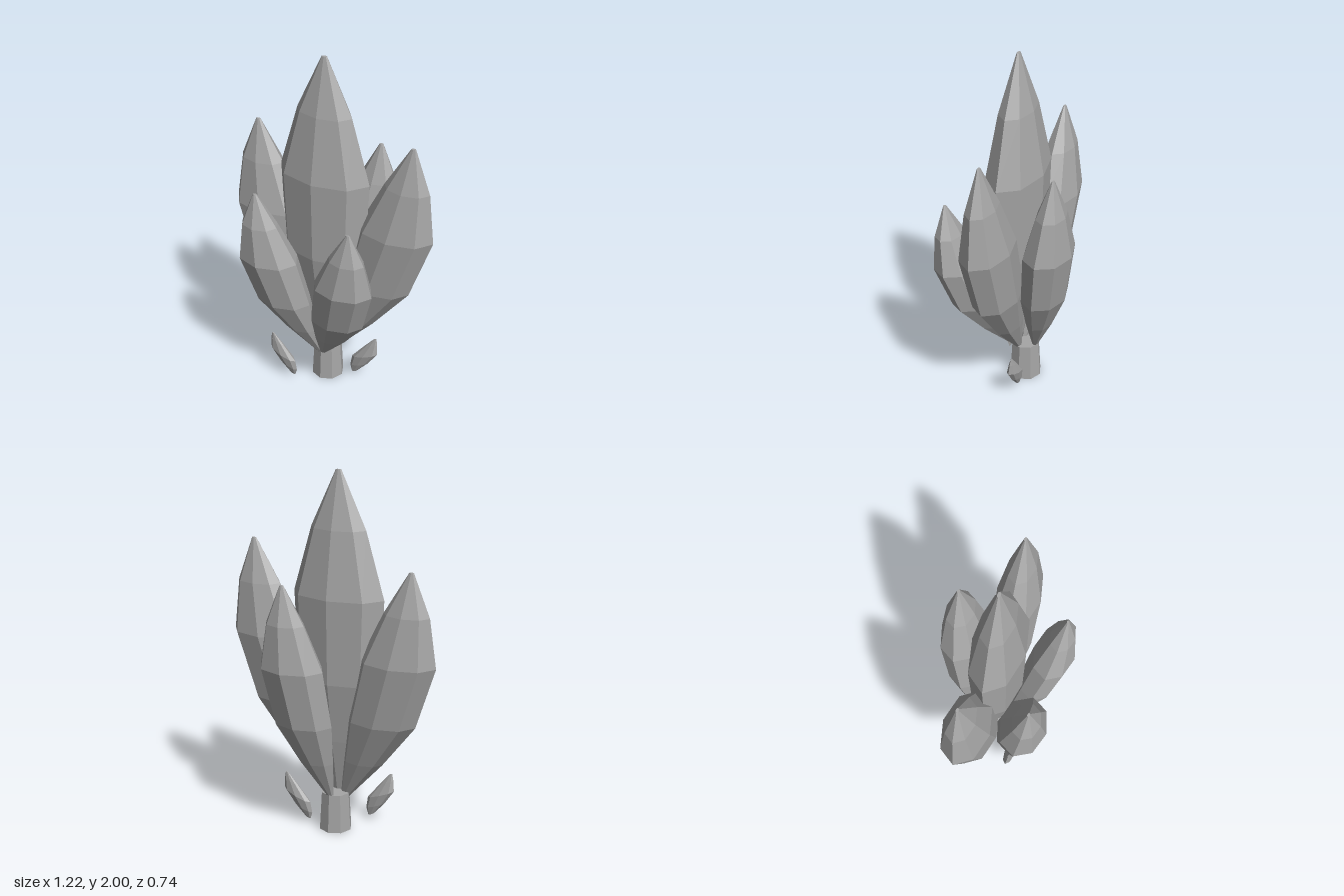
import * as THREE from 'three';

// Rows: [height fraction, outward bow fraction, width fraction]
const LEAF_ROWS = [
  [0, 0, 0.1], [0.18, 0.3, 0.54], [0.37, 0.58, 0.92],
  [0.63, 0.82, 1], [0.83, 0.94, 0.6], [1, 1, 0.06],
];
const BUD_ROWS = [
  [0, 0, 0.2], [0.22, 0.22, 0.7], [0.5, 0.5, 1], [0.8, 0.8, 0.5], [1, 1, 0.1],
];
const SIDES = 8;

// Faceted blade: elliptical rings lofted from base to tip, closed at both ends
function bladeGeometry(rows, base, tip, a, b, tilt = 0) {
  const pos = [], index = [];
  const centre = ([t, f]) => [
    base[0] + (tip[0] - base[0]) * f,
    base[1] + (tip[1] - base[1]) * t,
    base[2] + (tip[2] - base[2]) * f,
  ];
  for (const row of rows) {
    const [cx, cy, cz] = centre(row);
    for (let i = 0; i < SIDES; i++) {
      const ang = (i / SIDES) * Math.PI * 2;
      const dx = Math.cos(ang) * a * row[2];
      pos.push(cx + dx, cy + dx * tilt, cz + Math.sin(ang) * b * row[2]);
    }
  }
  const last = (rows.length - 1) * SIDES, end = rows.length * SIDES;
  pos.push(...centre(rows[0]), ...centre(rows[rows.length - 1]));
  for (let i = 0; i < SIDES; i++) {
    const j = (i + 1) % SIDES;
    for (let r = 0; r < last; r += SIDES) {
      index.push(r + i, r + SIDES + i, r + j, r + j, r + SIDES + i, r + SIDES + j);
    }
    index.push(end, i, j, end + 1, last + j, last + i);
  }
  const g = new THREE.BufferGeometry();
  g.setAttribute('position', new THREE.Float32BufferAttribute(pos, 3));
  g.setIndex(index);
  const flat = g.toNonIndexed();
  flat.computeVertexNormals();
  return flat;
}

export function createModel() {
  const group = new THREE.Group();
  const grey = new THREE.MeshStandardMaterial({ color: 0xa6a6a6, flatShading: true });
  grey.name = 'plainGrey';
  const add = (name, geometry) => {
    const mesh = new THREE.Mesh(geometry, grey);
    mesh.name = name;
    group.add(mesh);
    return mesh;
  };

  // Stem
  add('stem', new THREE.CylinderGeometry(0.08, 0.092, 0.22, SIDES)).position.set(-0.02, 0.11, -0.03);

  // Large leaves: name, base, tip, half width, half depth
  const leaves = [
    ['centreLeaf', [-0.015, 0.2, 0.015], [-0.015, 2, 0.012], 0.267, 0.145],
    ['leftLeaf', [0.02, 0.2, -0.01], [0.48, 1.6, -0.015], 0.215, 0.125],
    ['rightLeaf', [-0.06, 0.18, 0], [-0.46, 1.52, -0.05], 0.215, 0.13],
    ['frontRightLeaf', [-0.02, 0.2, 0.06], [-0.29, 1.26, 0.265], 0.175, 0.13],
    ['frontLeftLeaf', [0, 0.2, 0.06], [0.283, 1.2, 0.295], 0.17, 0.118],
    ['backLeaf', [-0.02, 0.21, -0.09], [0.17, 1.43, -0.27], 0.185, 0.13],
  ];
  for (const [name, base, tip, a, b] of leaves) {
    add(name, bladeGeometry(LEAF_ROWS, base, tip, a, b));
  }

  // Small buds beside the stem
  add('rightBud', bladeGeometry(BUD_ROWS, [-0.16, 0.035, 0.135], [-0.27, 0.295, 0.157], 0.08, 0.03, -0.4));
  add('leftBud', bladeGeometry(BUD_ROWS, [0.14, 0.035, -0.058], [0.26, 0.295, -0.078], 0.08, 0.03, 0.4));
  return group;
}
